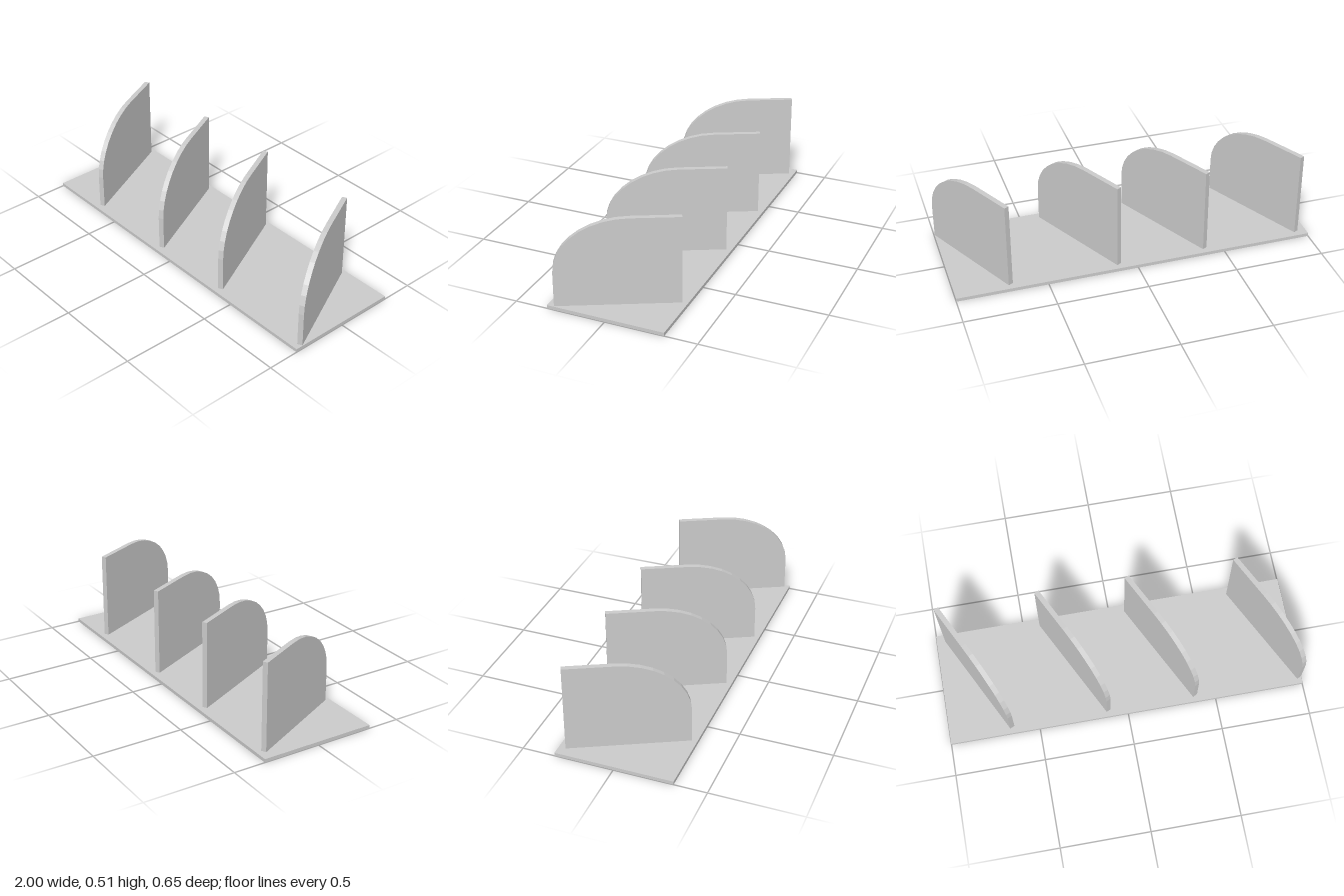
import * as THREE from 'three';

const material = new THREE.MeshStandardMaterial({ color: 0xcccccc });

// Upright panel: square back, elliptical upper front corner in nine facets
function panelGeometry() {
  const half = 0.323, bottom = 0.022, top = 0.508, thick = 0.0277;
  const rx = 0.386, ry = 0.293, steps = 9;
  const shape = new THREE.Shape();
  shape.moveTo(-half, bottom);
  shape.lineTo(half, bottom);
  for (let i = 0; i <= steps; i++) {
    const a = (i / steps) * Math.PI / 2;
    shape.lineTo(half - rx + rx * Math.cos(a), top - ry + ry * Math.sin(a));
  }
  shape.lineTo(-half, top);
  shape.closePath();
  const g = new THREE.ExtrudeGeometry(shape, { depth: thick, bevelEnabled: false });
  g.translate(0, 0, -thick / 2);
  return g;
}

export function createModel() {
  const model = new THREE.Group();
  model.name = 'dividerStand';

  // Thin base plate
  const base = new THREE.Mesh(new THREE.BoxGeometry(2, 0.019, 0.646), material);
  base.name = 'basePlate';
  base.position.y = 0.0095;
  model.add(base);

  // Slanted dividers, hovering just above the plate
  const geometry = panelGeometry();
  const slant = THREE.MathUtils.degToRad(26.5);
  [-0.795, -0.25, 0.243, 0.843].forEach((x, i) => {
    const panel = new THREE.Mesh(geometry, material);
    panel.name = `divider${i + 1}`;
    panel.position.x = x;
    panel.rotation.y = slant - Math.PI / 2;
    model.add(panel);
  });

  return model;
}
